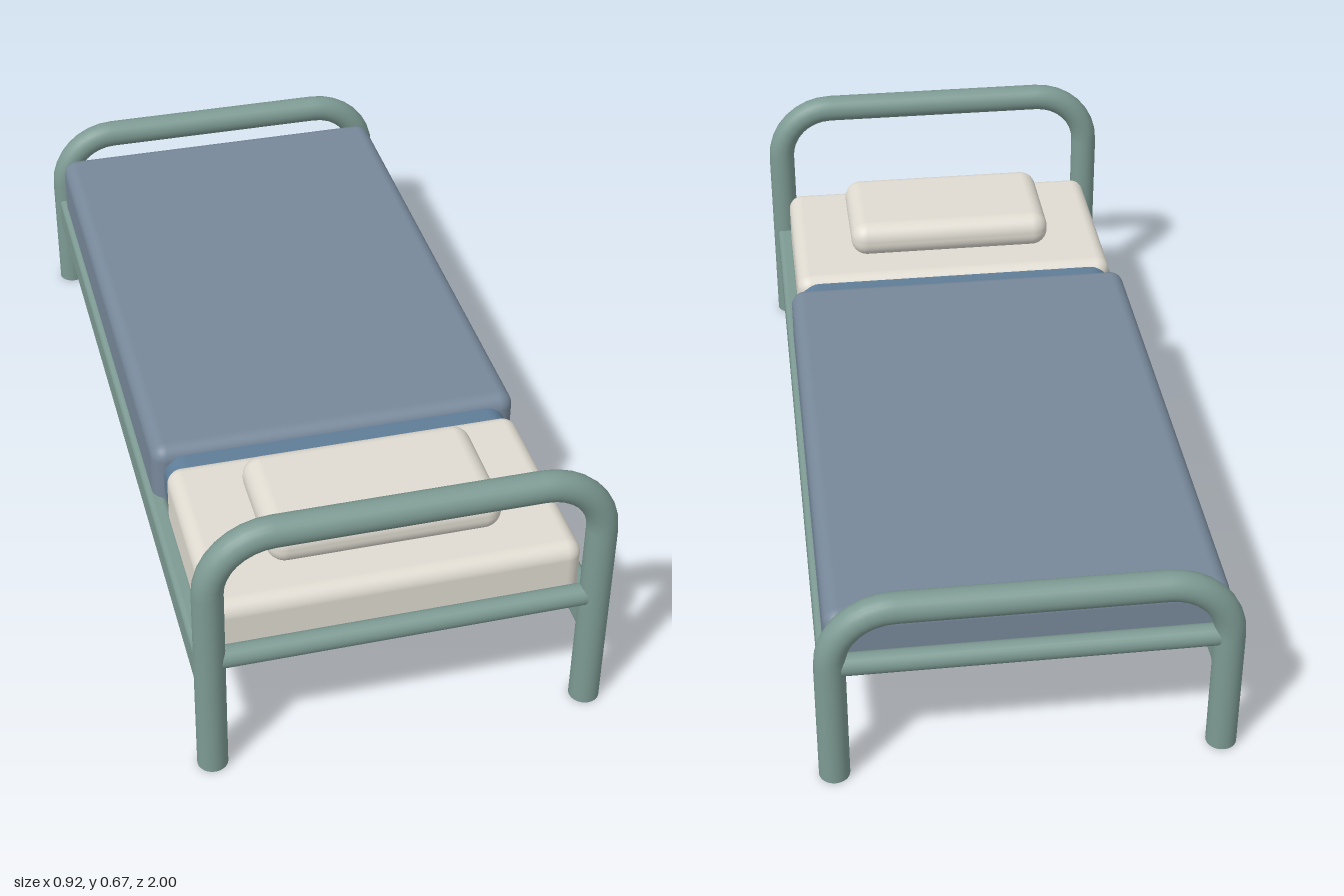
import * as THREE from 'three';
import { RoundedBoxGeometry } from 'three/addons/geometries/RoundedBoxGeometry.js';

const mat = (color) => new THREE.MeshStandardMaterial({ color });

export function createModel() {
  const bed = new THREE.Group();
  bed.name = 'bed';

  const metal = mat(0x7d9a93);
  const cream = mat(0xdfdbd1);
  const blanketBlue = mat(0x77889a);
  const mattressBlue = mat(0x5f7d98);

  const R = 0.034; // tube radius
  const X = 0.427; // post centre
  const Z = 0.966; // end frame centre
  const BEND = 0.14; // corner bend radius

  function add(parent, name, geometry, material, x = 0, y = 0, z = 0) {
    const mesh = new THREE.Mesh(geometry, material);
    mesh.name = name;
    mesh.position.set(x, y, z);
    parent.add(mesh);
    return mesh;
  }

  // Rounded box given by its limits on each axis
  function cushion(name, [x0, x1], [y0, y1], [z0, z1], radius, material) {
    const geometry = new RoundedBoxGeometry(x1 - x0, y1 - y0, z1 - z0, 5, radius);
    return add(bed, name, geometry, material, (x0 + x1) / 2, (y0 + y1) / 2, (z0 + z1) / 2);
  }

  // Bent-tube end frame: two posts, two corners, top bar and a thin cross bar
  function endFrame(name, top, z) {
    const frame = new THREE.Group();
    frame.name = name;
    frame.position.z = z;
    const postHeight = top - BEND;
    const inner = X - BEND;
    for (const side of [1, -1]) {
      add(frame, 'post', new THREE.CylinderGeometry(R, R, postHeight, 24), metal, side * X, postHeight / 2);
      const corner = add(frame, 'corner', new THREE.TorusGeometry(BEND, R, 24, 8, Math.PI / 2), metal, side * inner, postHeight);
      if (side < 0) corner.rotation.z = Math.PI / 2;
    }
    const bar = add(frame, 'topBar', new THREE.CylinderGeometry(R, R, inner * 2, 24), metal, 0, top);
    bar.rotation.z = Math.PI / 2;
    const cross = add(frame, 'crossBar', new THREE.CylinderGeometry(0.025, 0.025, X * 2, 20), metal, 0, 0.307);
    cross.rotation.z = Math.PI / 2;
    bed.add(frame);
  }
  endFrame('headboard', 0.632, Z);
  endFrame('footboard', 0.45, -Z);

  // Side rails
  for (const side of [1, -1]) {
    add(bed, 'sideRail', new RoundedBoxGeometry(0.045, 0.09, Z * 2, 4, 0.014), metal, side * X, 0.226, 0);
  }

  // Bedding
  cushion('mattress', [-0.41, 0.41], [0.24, 0.387], [-0.92, 0.92], 0.05, mattressBlue);
  cushion('sheet', [-0.415, 0.415], [0.239, 0.4], [0.43, 0.921], 0.035, cream);
  cushion('blanket', [-0.435, 0.435], [0.235, 0.408], [-0.935, 0.395], 0.035, blanketBlue);
  cushion('pillow', [-0.263, 0.263], [0.397, 0.488], [0.53, 0.83], 0.042, cream);

  return bed;
}
